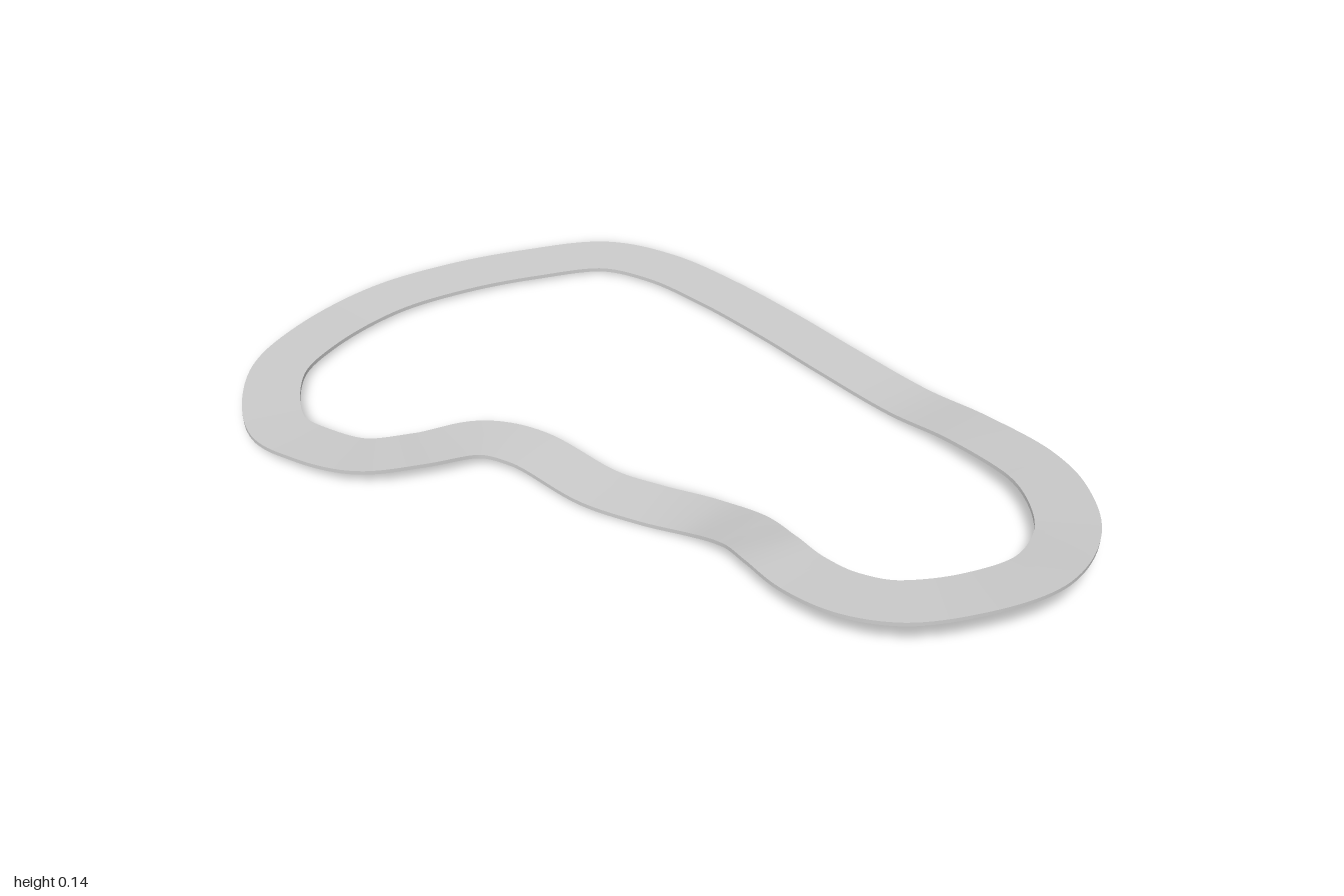
import * as THREE from 'three';

const HALF_WIDTH = 0.069, HALF_THICK = 0.005, STEPS = 320;

// Centre line control points: x, y, z, bank (rise of the outer edge)
const ROUTE = [
  [0.31, 0.13, 0.93, 0.01], [0.455, 0.117, 0.872, 0.009], [0.555, 0.1, 0.755, 0.006],
  [0.603, 0.083, 0.64, 0.003], [0.623, 0.052, 0.43, 0], [0.622, 0.02, 0.24, 0],
  [0.61, 0.015, 0, 0], [0.6, 0.015, -0.2, 0], [0.578, 0.015, -0.42, 0],
  [0.537, 0.015, -0.61, 0], [0.455, 0.015, -0.75, 0], [0.27, 0.015, -0.843, 0],
  [0.08, 0.015, -0.905, 0], [-0.13, 0.016, -0.932, 0], [-0.365, 0.019, -0.887, 0],
  [-0.52, 0.024, -0.8, 0], [-0.63, 0.031, -0.6, 0.001], [-0.607, 0.036, -0.485, 0.004],
  [-0.54, 0.039, -0.37, 0.006], [-0.42, 0.038, -0.307, 0.006], [-0.28, 0.034, -0.257, 0.002],
  [-0.215, 0.031, -0.165, 0], [-0.163, 0.018, 0.04, 0], [-0.1, 0.008, 0.15, 0],
  [-0.05, 0.024, 0.27, 0], [-0.036, 0.062, 0.4, 0], [-0.05, 0.085, 0.5, 0],
  [-0.057, 0.094, 0.6, 0], [-0.038, 0.105, 0.71, 0.002], [0.02, 0.118, 0.81, 0.005],
  [0.155, 0.131, 0.898, 0.009],
];

// Bank eased between neighbouring control points
function bankAt(t) {
  const n = ROUTE.length, s = t * n, i = Math.floor(s) % n;
  return THREE.MathUtils.lerp(ROUTE[i][3], ROUTE[(i + 1) % n][3], THREE.MathUtils.smoothstep(s % 1, 0, 1));
}

// Rectangular section swept round the closed route, sharp along its four edges
function trackGeometry() {
  const curve = new THREE.CatmullRomCurve3(
    ROUTE.map(([x, y, z]) => new THREE.Vector3(x, y, z)), true, 'centripetal');
  const corners = [[-1, 1], [1, 1], [1, -1], [-1, -1]];
  const sections = [];
  for (let i = 0; i < STEPS; i++) {
    const t = i / STEPS, p = curve.getPoint(t), d = curve.getTangent(t);
    const out = new THREE.Vector3(-d.z, 0, d.x).normalize().multiplyScalar(HALF_WIDTH);
    out.y = bankAt(t);
    sections.push(corners.map(([side, up]) => {
      const v = p.clone().addScaledVector(out, side);
      v.y += up * HALF_THICK;
      return v;
    }));
  }
  const positions = [], index = [];
  for (let k = 0; k < 4; k++) {
    const base = positions.length / 3;
    sections.forEach((s, i) => {
      positions.push(...s[k].toArray(), ...s[(k + 1) % 4].toArray());
      const a = base + i * 2, b = base + ((i + 1) % STEPS) * 2;
      index.push(a, a + 1, b, a + 1, b + 1, b);
    });
  }
  const geometry = new THREE.BufferGeometry();
  geometry.setAttribute('position', new THREE.Float32BufferAttribute(positions, 3));
  geometry.setIndex(index);
  geometry.computeVertexNormals();
  return geometry;
}

export function createModel() {
  const group = new THREE.Group();
  group.name = 'circuit';
  const track = new THREE.Mesh(trackGeometry(), new THREE.MeshStandardMaterial({ color: 0xcccccc }));
  track.name = 'trackSurface';
  group.add(track);
  return group;
}
